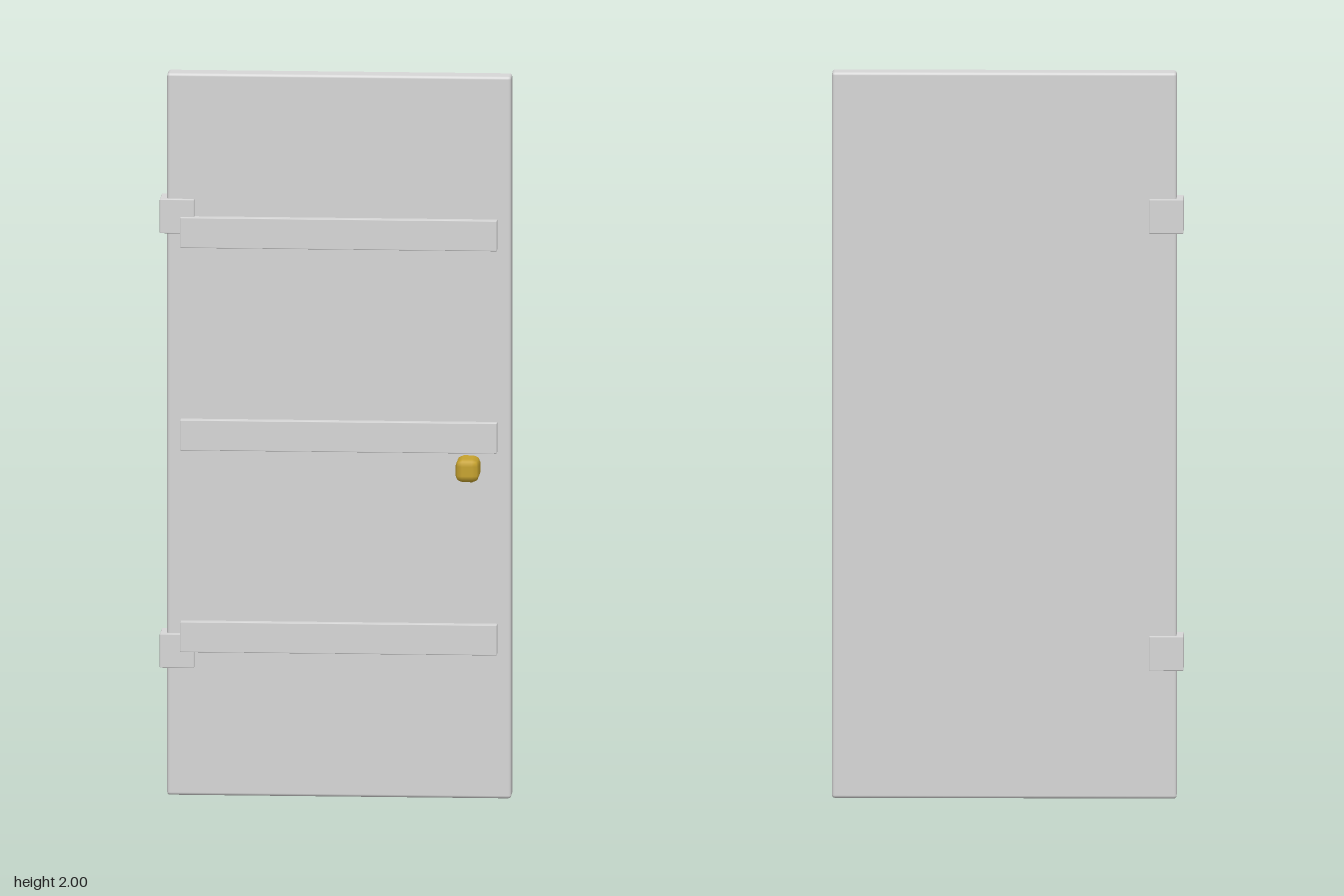
import * as THREE from 'three';
import { RoundedBoxGeometry } from 'three/addons/geometries/RoundedBoxGeometry.js';

export function createModel() {
  const door = new THREE.Group();
  door.name = 'door';

  const grey = new THREE.MeshStandardMaterial({ color: 0xd6d6d6 });
  grey.name = 'grey panel';
  const brass = new THREE.MeshStandardMaterial({ color: 0xc6a22e });
  brass.name = 'brass';

  // Block with softened edges, given by its lower and upper corners
  function block(name, material, min, max, bevel, segments = 1) {
    const size = max.map((v, i) => v - min[i]);
    const mesh = new THREE.Mesh(new RoundedBoxGeometry(...size, segments, bevel), material);
    mesh.position.set(...max.map((v, i) => (v + min[i]) / 2));
    mesh.name = name;
    door.add(mesh);
  }

  // Door leaf
  block('panel', grey, [-0.461, 0, -0.074], [0.479, 2, -0.008], 0.008, 2);

  // Horizontal battens across the front
  [0.443, 1.002, 1.563].forEach((y, i) =>
    block(`batten${i + 1}`, grey, [-0.424, y - 0.042, -0.02], [0.442, y + 0.042, 0.017], 0.002));

  // Hinge blocks wrapping the right edge
  [0.402, 1.606].forEach((y, i) =>
    block(`hinge${i + 1}`, grey, [-0.48, y - 0.047, -0.088], [-0.386, y + 0.047, 0.006], 0.002));

  // Handle
  block('handle', brass, [0.332, 0.89, -0.01], [0.397, 0.954, 0.088], 0.019);

  return door;
}
